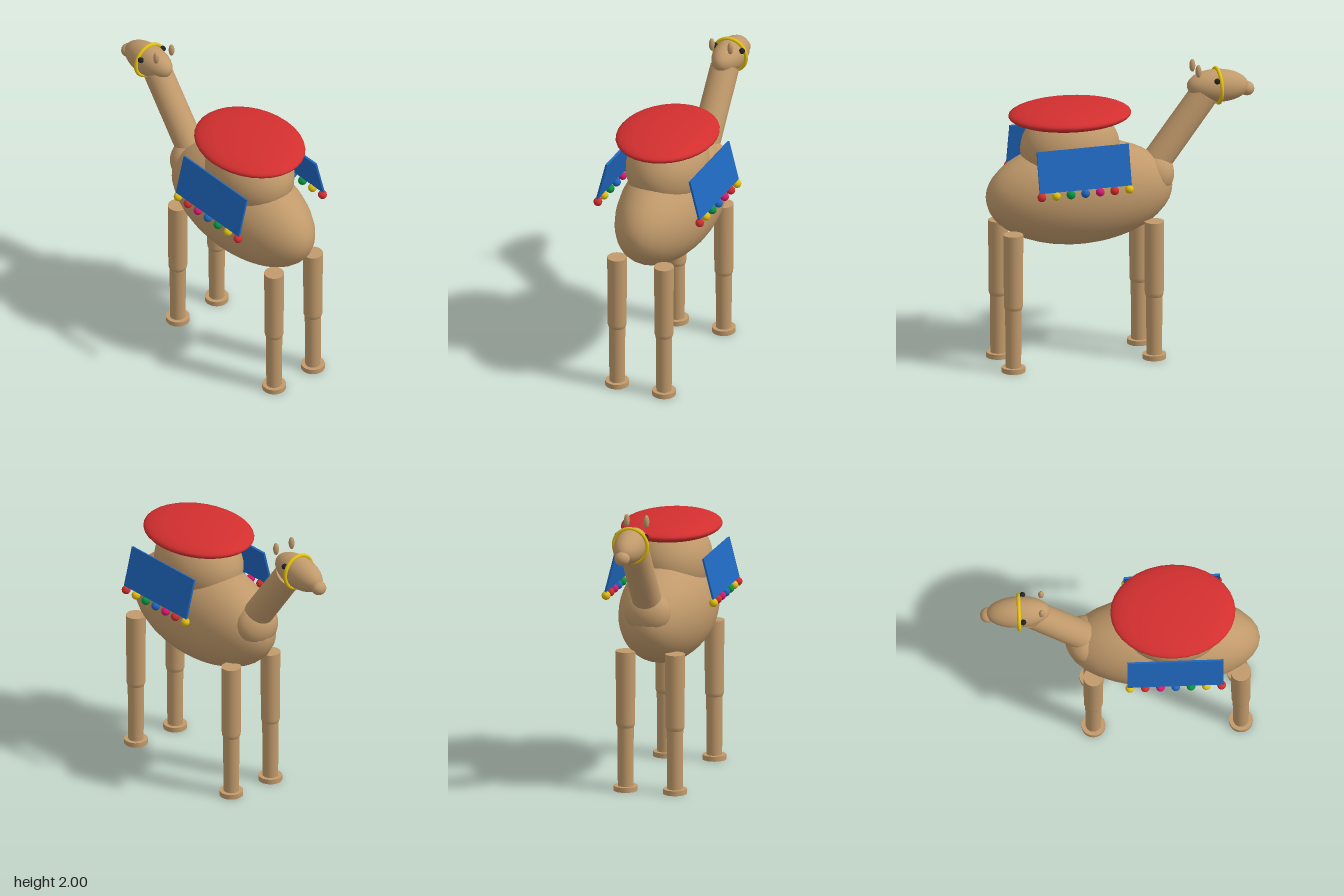
import * as THREE from 'three';

const material = (name, color) => Object.assign(new THREE.MeshStandardMaterial({ color }), { name });

export function createModel() {
  const model = new THREE.Group();
  model.name = 'camel';

  const fur = material('tan fur', 0xc19a6b);
  const red = material('red cloth', 0xd32f2f);
  const blue = material('blue cloth', 0x2068c0);
  const yellow = material('yellow', 0xe2c012);
  const green = material('green', 0x0c9444);
  const pink = material('pink', 0xd81b70);
  const dark = material('dark eye', 0x222222);

  const add = (name, geometry, mat, x, y, z, parent = model) => {
    const mesh = new THREE.Mesh(geometry, mat);
    mesh.name = name;
    mesh.position.set(x, y, z);
    parent.add(mesh);
    return mesh;
  };
  const ellipsoid = (rx, ry, rz, w = 32, h = 24) =>
    new THREE.SphereGeometry(1, w, h).scale(rx, ry, rz);

  // Body, hump and collar at the base of the neck
  add('body', ellipsoid(0.305, 0.36, 0.65), fur, 0, 1.17, 0.29);
  add('hump', ellipsoid(0.27, 0.28, 0.34), fur, 0, 1.49, 0.355);
  add('neckBase', ellipsoid(0.16, 0.15, 0.13), fur, 0, 1.25, -0.24);

  // Slanted neck
  const low = new THREE.Vector3(0, 1.26, -0.2);
  const high = new THREE.Vector3(0, 1.77, -0.59);
  const axis = high.clone().sub(low);
  const middle = low.clone().add(high).multiplyScalar(0.5);
  const neck = add('neck', new THREE.CylinderGeometry(0.098, 0.1, axis.length(), 28), fur, ...middle.toArray());
  neck.quaternion.setFromUnitVectors(new THREE.Vector3(0, 1, 0), axis.normalize());

  // Head, facing -z
  const head = add('head', ellipsoid(0.105, 0.112, 0.215), fur, 0, 1.82, -0.685);
  head.rotation.x = -0.08;
  add('nose', ellipsoid(0.052, 0.048, 0.05, 20, 14), fur, 0, 1.78, -0.89);
  add('bridle', new THREE.TorusGeometry(0.117, 0.013, 12, 40), yellow, 0, 1.82, -0.68);

  // Saddle cushion
  add('saddle', ellipsoid(0.335, 0.075, 0.42), red, 0, 1.72, 0.355);

  const pompomColors = [red, yellow, green, blue, pink, red, yellow];
  for (const side of [-1, 1]) {
    add('ear', ellipsoid(0.02, 0.045, 0.02, 16, 12), fur, side * 0.068, 1.955, -0.528);
    add('eye', ellipsoid(0.02, 0.02, 0.02, 16, 12), dark, side * 0.098, 1.88, -0.652);

    // Blanket hanging outwards, with a row of pompoms below
    const blanket = add('blanket', new THREE.BoxGeometry(0.014, 0.282, 0.645), blue, side * 0.34, 1.438, 0.36);
    blanket.rotation.z = side * 0.25;
    pompomColors.forEach((mat, i) =>
      add('pompom', ellipsoid(0.03, 0.03, 0.03, 16, 12), mat, side * 0.374, 1.275, 0.668 - i * 0.1025));

    // Legs
    for (const z of [-0.185, 0.805]) {
      const leg = new THREE.Group();
      leg.name = z < 0 ? 'frontLeg' : 'backLeg';
      leg.position.set(side * 0.172, 0, z);
      add('upperLeg', new THREE.CylinderGeometry(0.067, 0.064, 0.495, 24), fur, 0, 0.7175, 0, leg);
      add('knee', ellipsoid(0.064, 0.064, 0.064, 24, 16), fur, 0, 0.47, 0, leg);
      add('lowerLeg', new THREE.CylinderGeometry(0.056, 0.052, 0.45, 24), fur, 0, 0.25, 0, leg);
      add('foot', new THREE.CylinderGeometry(0.08, 0.08, 0.034, 24), fur, 0, 0.017, 0, leg);
      model.add(leg);
    }
  }
  return model;
}
